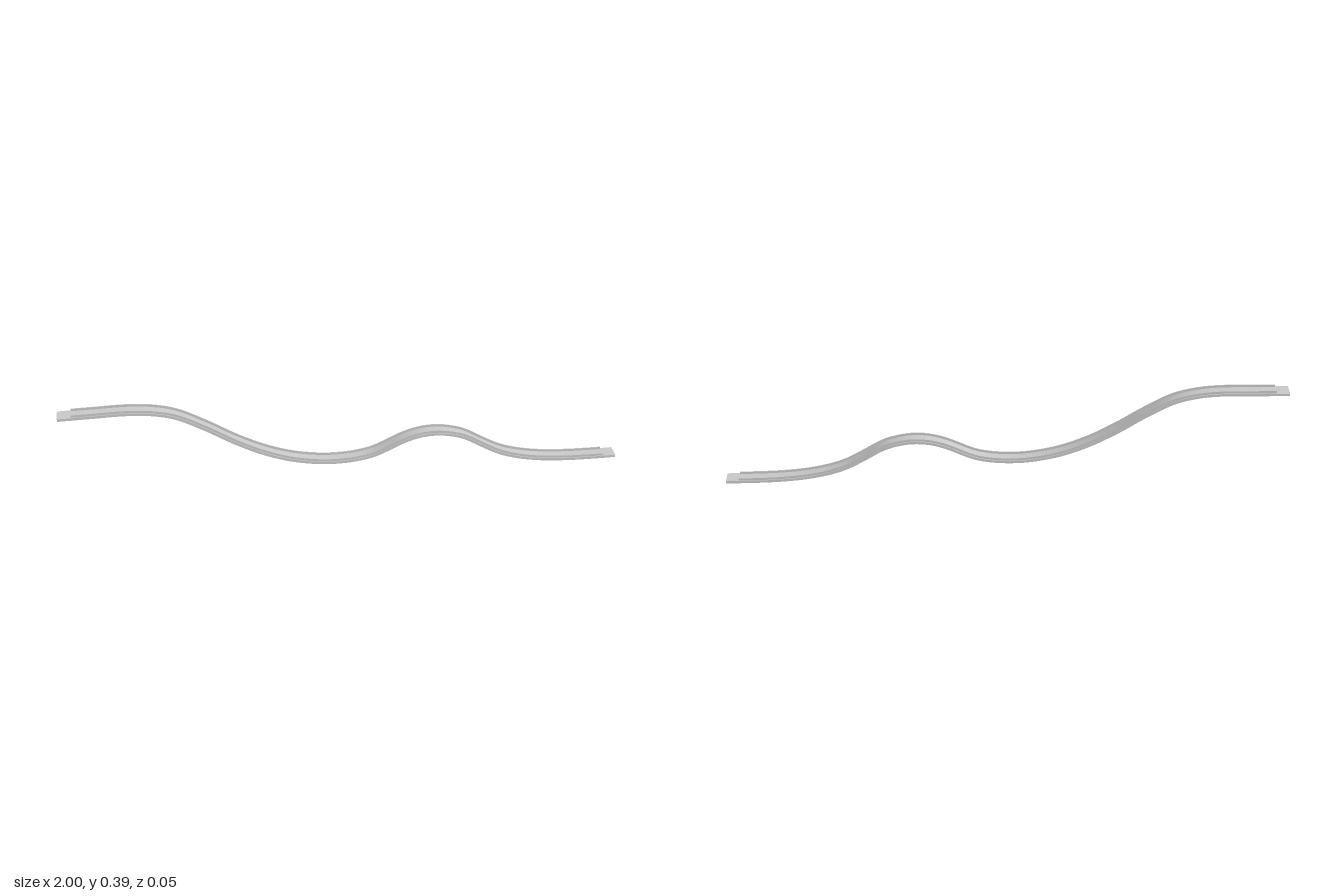
import * as THREE from 'three';
import { toCreasedNormals } from 'three/addons/utils/BufferGeometryUtils.js';

// Side profile of the sliding surface
const PROFILE = new THREE.CatmullRomCurve3([
  [-1, 0.378], [-0.88, 0.378], [-0.76, 0.377], [-0.68, 0.368], [-0.6, 0.345], [-0.5, 0.287],
  [-0.4, 0.219], [-0.3, 0.162], [-0.2, 0.122], [-0.1, 0.1], [-0.03, 0.095],
  [0.04, 0.099], [0.1, 0.112], [0.2, 0.158], [0.25, 0.174], [0.3, 0.18], [0.35, 0.176],
  [0.42, 0.155], [0.5, 0.106], [0.56, 0.071], [0.62, 0.048], [0.7, 0.029], [0.8, 0.017],
  [0.9, 0.012], [1, 0.01],
].map(([x, y]) => new THREE.Vector3(x, y, 0)));

// Band that follows the profile between two normal offsets, extruded across z
function band(from, to, low, high, width, segments = 140) {
  const upper = [], lower = [];
  for (let i = 0; i <= segments; i++) {
    const u = from + (to - from) * i / segments;
    const p = PROFILE.getPointAt(u), t = PROFILE.getTangentAt(u);
    const offset = d => new THREE.Vector2(p.x - t.y * d, p.y + t.x * d);
    upper.push(offset(high));
    lower.push(offset(low));
  }
  const shape = new THREE.Shape([...lower, ...upper.reverse()]);
  const geometry = new THREE.ExtrudeGeometry(shape, { depth: width, bevelEnabled: false });
  geometry.translate(0, 0, -width / 2);
  return toCreasedNormals(geometry, 0.6);
}

export function createModel() {
  const group = new THREE.Group();
  const material = new THREE.MeshStandardMaterial({ color: 0xcccccc });

  // Sliding bed
  const bed = new THREE.Mesh(band(0, 1, -0.01, 0, 0.049), material);
  bed.name = 'slideBed';
  group.add(bed);

  // Low side rails, stopping short of both ends
  const railGeometry = band(0.022, 0.978, -0.001, 0.009, 0.003);
  for (const side of [-1, 1]) {
    const rail = new THREE.Mesh(railGeometry, material);
    rail.name = side > 0 ? 'frontRail' : 'backRail';
    rail.position.z = side * 0.02;
    group.add(rail);
  }
  return group;
}
